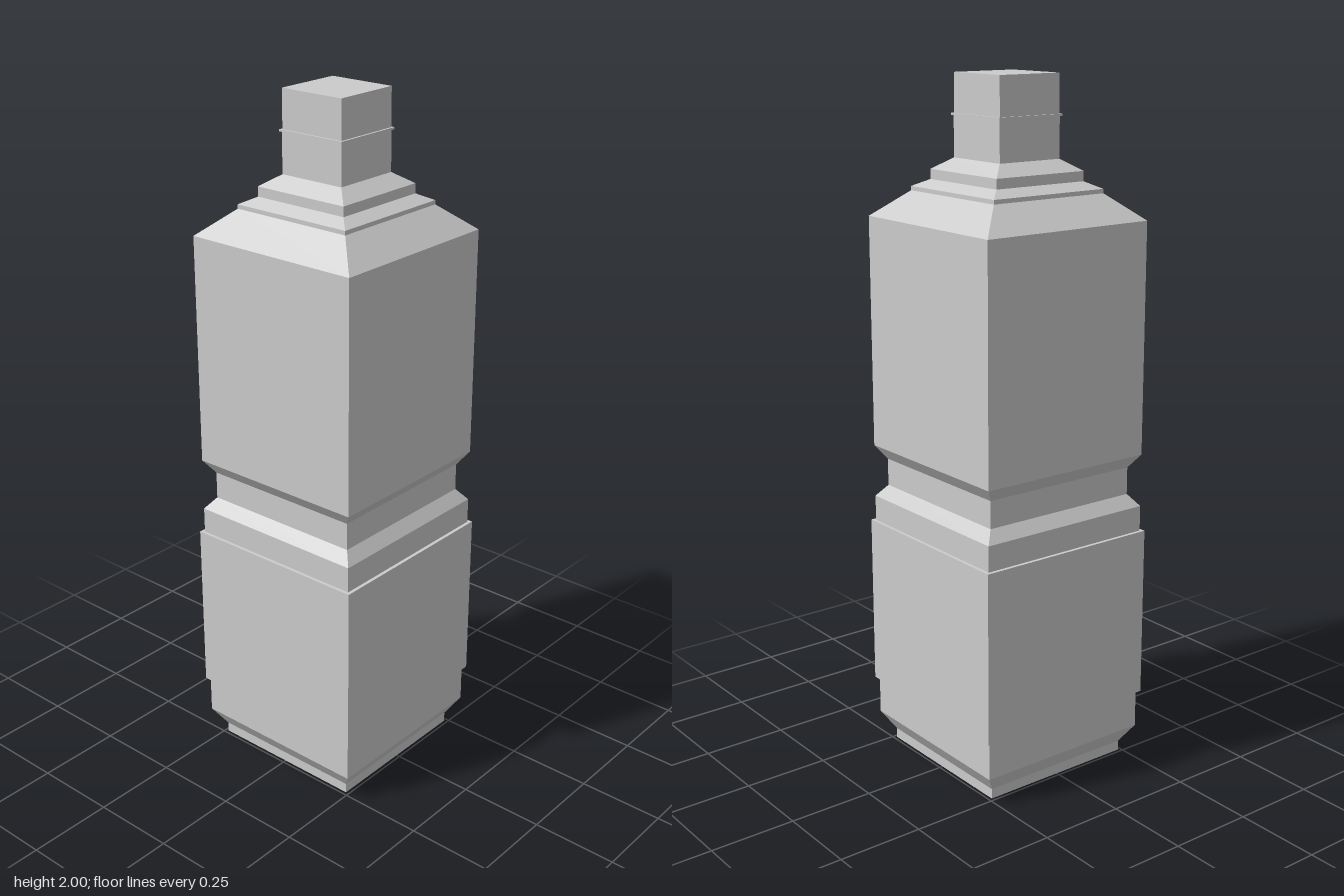
import * as THREE from 'three';

const material = new THREE.MeshStandardMaterial({ color: 0xcccccc, flatShading: true });

// Square section swept up a profile of [half width, height] points
function squareLathe(name, profile) {
  const points = profile.map(([w, y]) => new THREE.Vector2(w * Math.SQRT2, y));
  const swept = new THREE.LatheGeometry(points, 4, Math.PI / 4);
  const geometry = swept.toNonIndexed();
  geometry.computeVertexNormals();
  const mesh = new THREE.Mesh(geometry, material);
  mesh.name = name;
  return mesh;
}

export function createModel() {
  const bottle = new THREE.Group();
  bottle.name = 'squareBottle';

  // Recessed base, chamfered foot, lower body, waist, upper body, stepped shoulder and neck
  bottle.add(squareLathe('body', [
    [0, 0.02], [0.215, 0.02], [0.215, 0], [0.24, 0], [0.24, 0.03],
    [0.275, 0.085], [0.275, 0.78],
    [0.247, 0.815], [0.247, 0.895], [0.275, 0.935],
    [0.275, 1.605], [0.189, 1.678], [0.189, 1.69],
    [0.15, 1.71], [0.15, 1.738], [0.103, 1.77], [0.103, 1.885], [0, 1.885],
  ]));

  // Raised band around the lower body
  bottle.add(squareLathe('label', [
    [0.275, 0.198], [0.285, 0.198], [0.285, 0.705], [0.275, 0.705],
  ]));

  // Thin lip between neck and cap
  bottle.add(squareLathe('neckRing', [
    [0.1, 1.885], [0.108, 1.885], [0.108, 1.891], [0.1, 1.891],
  ]));

  // Cap
  bottle.add(squareLathe('cap', [[0.102, 1.888], [0.102, 2], [0, 2]]));

  return bottle;
}
